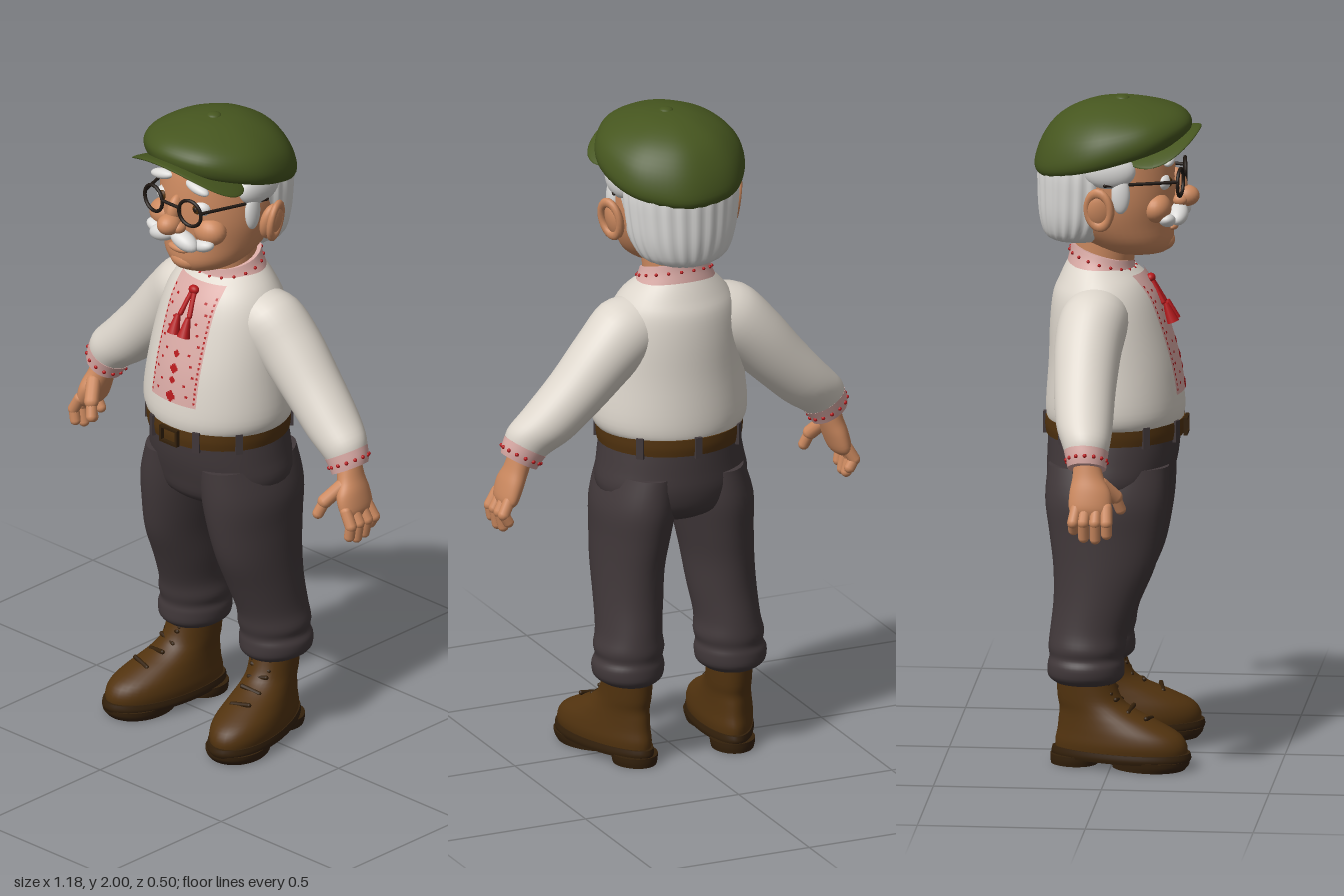
import * as THREE from 'three';

const mat = (name, color) => new THREE.MeshStandardMaterial({ name, color });
const M = {
  shirt: mat('shirt linen', 0xddd6cc), pink: mat('embroidery pink', 0xd9aaa5), red: mat('thread red', 0xb5191c),
  pants: mat('trouser charcoal', 0x41383a), boot: mat('boot leather', 0x52330f), sole: mat('dark leather', 0x33200b),
  skin: mat('skin', 0xcd8a60), hair: mat('white hair', 0xdcdbd9), cap: mat('cap green', 0x46561f), black: mat('frame black', 0x1f1712),
};
const V = (x, y, z) => new THREE.Vector3(x, y, z);

// Smooth interpolation of ring parameters [x, y, z, radiusX, radiusZ, roll, tilt]
function ringAt(rings, t) {
  const n = rings.length - 1, i = Math.min(n - 1, Math.floor(t)), f = t - i;
  const r = k => rings[Math.max(0, Math.min(n, k))];
  return [0, 1, 2, 3, 4, 5, 6].map(k => {
    const a = r(i - 1)[k] ?? 0, b = r(i)[k] ?? 0, c = r(i + 1)[k] ?? 0, d = r(i + 2)[k] ?? 0;
    return 0.5 * (2 * b + (c - a) * f + (2 * a - 5 * b + 4 * c - d) * f * f + (3 * b - a - 3 * c + d) * f * f * f);
  });
}
// Closed skin through elliptical rings listed from bottom to top
function loftGeometry(rings, { seg = 40, steps = 4, ripple = 0, waves = 0 } = {}) {
  const pos = [], idx = [], rows = (rings.length - 1) * steps;
  for (let i = 0; i <= rows; i++) {
    const [x, y, z, ra, rb, roll, tilt] = ringAt(rings, i / steps);
    for (let j = 0; j < seg; j++) {
      const th = j / seg * Math.PI * 2, k = 1 + ripple * Math.sin(th * waves);
      const a = ra * k * Math.cos(th), b = rb * k * Math.sin(th);
      pos.push(x + a * Math.cos(roll), y + a * Math.sin(roll) + b * Math.sin(tilt), z + b * Math.cos(tilt));
      if (i < rows) {
        const p = i * seg + j, q = i * seg + (j + 1) % seg;
        idx.push(p, p + seg, q, q, p + seg, q + seg);
      }
    }
  }
  for (const row of [0, rows]) {
    const base = pos.length / 3, e = ringAt(rings, row / steps);
    pos.push(...pos.slice(row * seg * 3, (row + 1) * seg * 3), e[0], e[1], e[2]);
    for (let j = 0; j < seg; j++) {
      const p = base + j, q = base + (j + 1) % seg;
      row ? idx.push(p, base + seg, q) : idx.push(p, q, base + seg);
    }
  }
  const g = new THREE.BufferGeometry();
  g.setAttribute('position', new THREE.Float32BufferAttribute(pos, 3));
  g.setIndex(idx);
  g.computeVertexNormals();
  return g;
}
function add(group, name, geometry, material) {
  const m = new THREE.Mesh(geometry, material);
  m.name = name;
  group.add(m);
  return m;
}
const loft = (g, name, m, rings, opt) => add(g, name, loftGeometry(rings, opt), m);
function blob(g, name, m, [x, y, z], [a, b, c], rotZ = 0, rotX = 0) {
  const geo = new THREE.SphereGeometry(1, 24, 16).scale(a, b, c).rotateX(rotX).rotateZ(rotZ).translate(x, y, z);
  return add(g, name, geo, m);
}
function capsule(g, name, m, a, b, r) {
  const p = V(...a), q = V(...b), d = q.clone().sub(p);
  const geo = new THREE.CapsuleGeometry(r, d.length(), 6, 12);
  geo.applyQuaternion(new THREE.Quaternion().setFromUnitVectors(V(0, 1, 0), d.clone().normalize()));
  const c = p.add(q).multiplyScalar(0.5);
  return add(g, name, geo.translate(c.x, c.y, c.z), m);
}
const box = (g, name, m, p, s, ry = 0) => add(g, name, new THREE.BoxGeometry(...s).rotateY(ry).translate(...p), m);
// Adds a left-side group plus its reflected right-side copy
function addPair(root, left, name) {
  left.name = 'left' + name;
  left.updateMatrixWorld(true);
  const right = new THREE.Group();
  right.name = 'right' + name;
  left.traverse(o => {
    if (!o.isMesh) return;
    const g = o.geometry.clone().applyMatrix4(o.matrixWorld).scale(-1, 1, 1), a = g.index.array;
    for (let i = 0; i < a.length; i += 3) [a[i], a[i + 1]] = [a[i + 1], a[i]];
    add(right, o.name, g, o.material);
  });
  root.add(left, right);
}

const SHIRT = [[0, 1.015, -.005, .205, .195], [0, 1.03, -.005, .228, .204], [0, 1.08, -.005, .238, .206], [0, 1.2, -.01, .225, .193],
  [0, 1.32, -.025, .21, .174], [0, 1.4, -.035, .19, .155], [0, 1.45, -.04, .16, .13], [0, 1.495, -.042, .115, .1, 0, -.15]];

// Thin patch lying on the shirt front
function patch(g, name, m, x, y, w, h, lift, nx = 1, ny = 1) {
  const geo = new THREE.PlaneGeometry(w, h, nx, ny).translate(x, y, 0), p = geo.attributes.position;
  for (let i = 0; i < p.count; i++) {
    let lo = 0, hi = SHIRT.length - 1;
    for (let k = 0; k < 24; k++) { const t = (lo + hi) / 2; ringAt(SHIRT, t)[1] < p.getY(i) ? lo = t : hi = t; }
    const r = ringAt(SHIRT, lo);
    p.setZ(i, r[2] + r[4] * Math.sqrt(1 - (p.getX(i) / r[3]) ** 2) + lift);
  }
  geo.computeVertexNormals();
  return add(g, name, geo, m);
}

function buildShirt(root) {
  const g = new THREE.Group();
  g.name = 'shirt';
  loft(g, 'shirtBody', M.shirt, SHIRT);
  loft(g, 'collar', M.pink, [[0, 1.478, -.042, .127, .107, 0, -.2], [0, 1.505, -.043, .113, .1, 0, -.26], [0, 1.53, -.044, .105, .097, 0, -.28]]);
  patch(g, 'embroideredPanel', M.pink, 0, 1.29, .18, .36, .004, 10, 24);
  // stitched motifs: edge columns, a centre column and a scatter between
  for (let i = 0; i < 21; i++) {
    const y = 1.125 + i * .0155;
    for (const s of [-1, 1]) {
      patch(g, 'edgeStitch', M.red, s * .083, y, .006, .007, .006);
      if (i % 2) patch(g, 'innerStitch', M.red, s * (.045 + .012 * (i % 3)), y, .009, .007, .006);
    }
  }
  for (const [y, s] of [[1.13, .035], [1.18, .022], [1.215, .03], [1.26, .022]])
    for (const [w, h] of [[1, .35], [.65, .7], [.3, 1]]) patch(g, 'centreMotif', M.red, 0, y, s * w, s * h, .007);
  for (let i = 0; i < 18; i++) {
    const a = i / 18 * Math.PI * 2;
    blob(g, 'collarStitch', M.red, [.114 * Math.cos(a), 1.505 - .027 * Math.sin(a), -.043 + .098 * Math.sin(a)], [.005, .005, .005]);
  }
  // tied cord with two tassels
  blob(g, 'cordKnot', M.red, [0, 1.445, .1], [.018, .014, .014]);
  for (const s of [-1, 1]) {
    capsule(g, 'cord', M.red, [s * .005, 1.44, .102], [s * .018, 1.375, .138], .008);
    add(g, 'tassel', new THREE.CylinderGeometry(.008, .02, .06, 12).rotateX(-.35).translate(s * .021, 1.345, .157), M.red);
  }
  root.add(g);
}

function buildArm(root) {
  const g = new THREE.Group();
  loft(g, 'sleeve', M.shirt, [[.5, 1, -.045, .058, .056, .5], [.477, 1.04, -.048, .074, .07, .55], [.42, 1.09, -.058, .083, .084, .6],
    [.33, 1.18, -.065, .09, .092, .65], [.235, 1.28, -.064, .101, .1, .7], [.15, 1.35, -.052, .11, .105, .8], [.07, 1.39, -.045, .08, .08, .8]]);
  loft(g, 'cuff', M.pink, [[.507, .98, -.042, .06, .057, .5], [.5, 1, -.044, .065, .061, .5], [.487, 1.025, -.046, .07, .066, .52]]);
  for (let i = 0; i < 14; i++) {
    const a = i / 14 * Math.PI * 2, c = .065 * Math.cos(a);
    blob(g, 'cuffStitch', M.red, [.5 + c * .88, 1 + c * .48, -.044 + .061 * Math.sin(a)], [.006, .006, .006]);
  }
  loft(g, 'palm', M.skin, [[.553, .845, -.03, .018, .045, .35], [.545, .865, -.03, .03, .062, .35], [.53, .91, -.03, .035, .062, .38],
    [.515, .95, -.037, .035, .048, .4], [.503, .99, -.042, .037, .04, .5]]);
  [[.022, .795], [-.012, .78], [-.047, .783], [-.077, .805]].forEach(([z, y], i) => {
    capsule(g, 'fingerBase', M.skin, [.55, .87, z * .9], [.572, .83, z], .018);
    capsule(g, 'fingerTip', M.skin, [.572, .83, z], [.566 - .003 * i, y, z], .0165);
  });
  capsule(g, 'thumbBase', M.skin, [.512, .935, 0], [.482, .89, .04], .022);
  capsule(g, 'thumbTip', M.skin, [.482, .89, .04], [.468, .85, .054], .017);
  addPair(root, g, 'Arm');
}

function buildTrousers(root) {
  loft(root, 'trouserSeat', M.pants, [[0, .745, -.02, .12, .1], [0, .785, -.02, .195, .165], [0, .85, -.02, .233, .187],
    [0, .92, -.012, .224, .195], [0, .99, -.007, .21, .197]]);
  const leg = new THREE.Group();
  loft(leg, 'trouserLeg', M.pants, [[.165, .25, -.077, .078, .09], [.167, .27, -.077, .102, .112], [.167, .305, -.077, .107, .114],
    [.164, .33, -.076, .099, .11], [.163, .36, -.074, .104, .115], [.16, .41, -.067, .096, .117], [.152, .5, -.045, .099, .13],
    [.146, .6, -.025, .102, .152], [.135, .7, -.02, .11, .17], [.125, .8, -.02, .117, .183], [.11, .9, -.015, .1, .18]]);
  addPair(root, leg, 'TrouserLeg');
  loft(root, 'belt', M.boot, [[0, .975, -.006, .217, .204], [0, 1, -.006, .221, .208], [0, 1.027, -.006, .222, .207]]);
  for (const a of [.55, 1.15, 1.99, 2.59, 3.9, 4.71, 5.52])
    box(root, 'beltLoop', M.pants, [.221 * Math.cos(a), 1, -.006 + .208 * Math.sin(a)], [.022, .065, .012], Math.PI / 2 - a);
  for (const s of [-1, 1]) {
    box(root, 'buckleSide', M.sole, [s * .032, 1, .206], [.008, .052, .012]);
    box(root, 'buckleBar', M.sole, [0, 1 + s * .023, .206], [.07, .007, .012]);
  }
}

function buildBoot(root) {
  const g = new THREE.Group();
  const foot = (name, m, rings) => {
    const mesh = loft(g, name, m, rings), p = mesh.geometry.attributes.position;
    // broaden the toe and narrow the heel
    for (let i = 0; i < p.count; i++) p.setX(i, p.getX(i) * (1 + .9 * p.getZ(i)));
    mesh.geometry.computeVertexNormals();
  };
  foot('upper', M.boot, [[0, .035, .03, .082, .2], [0, .07, .03, .088, .203], [0, .105, .022, .085, .188], [0, .14, -.01, .078, .152],
    [0, .17, -.042, .073, .117], [0, .205, -.068, .072, .097], [0, .275, -.083, .074, .086]]);
  foot('sole', M.sole, [[0, .024, .03, .087, .21], [0, .036, .03, .09, .215], [0, .052, .03, .088, .212]]);
  foot('heel', M.sole, [[0, 0, -.115, .07, .07], [0, .015, -.115, .074, .072], [0, .03, -.115, .075, .072]]);
  foot('tread', M.sole, [[0, 0, .115, .074, .11], [0, .015, .12, .078, .117], [0, .03, .12, .08, .12]]);
  // lacing up the instep
  [[.15, .122], [.175, .066], [.202, .028], [.228, .012], [.25, .004]].forEach(([y, z], i) => {
    const s = i % 2 ? 1 : -1;
    capsule(g, 'lace', M.sole, [-.03, y + s * .005, z - .006], [.03, y - s * .005, z - .006], .007);
  });
  g.position.set(.182, 0, 0);
  g.rotation.y = .2;
  addPair(root, g, 'Boot');
}

function buildHead(root) {
  const g = new THREE.Group();
  g.name = 'head';
  loft(g, 'neck', M.skin, [[0, 1.47, -.04, .09, .085], [0, 1.62, -.03, .1, .1]]);
  loft(g, 'face', M.skin, [[0, 1.526, .065, .05, .06], [0, 1.536, .052, .088, .1], [0, 1.57, .03, .13, .138], [0, 1.63, 0, .158, .168],
    [0, 1.7, -.01, .172, .184], [0, 1.78, -.015, .172, .188], [0, 1.86, -.02, .163, .18], [0, 1.91, -.02, .13, .15]]);
  blob(g, 'chin', M.skin, [0, 1.562, .13], [.055, .032, .042]);
  blob(g, 'lowerLip', M.skin, [0, 1.607, .165], [.04, .013, .018]);
  blob(g, 'noseBridge', M.skin, [0, 1.74, .18], [.02, .045, .028], 0, -.3);
  blob(g, 'noseTip', M.skin, [0, 1.698, .206], [.034, .032, .039]);
  loft(g, 'hair', M.hair, [[0, 1.565, -.115, .085, .08], [0, 1.585, -.108, .13, .108], [0, 1.64, -.095, .16, .135], [0, 1.72, -.088, .174, .147],
    [0, 1.8, -.085, .178, .148], [0, 1.87, -.08, .16, .13]], { seg: 120, ripple: .018, waves: 24 });
  const s = new THREE.Group();
  blob(s, 'cheek', M.skin, [.09, 1.68, .125], [.055, .045, .045]);
  blob(s, 'nostril', M.skin, [.027, 1.69, .19], [.018, .018, .022]);
  blob(s, 'ear', M.skin, [.19, 1.69, -.032], [.024, .06, .042], -.2);
  add(s, 'earRim', new THREE.TorusGeometry(.038, .011, 10, 24).scale(1, 1.4, 1).rotateY(Math.PI / 2 + .35).rotateZ(-.15).translate(.205, 1.695, -.036), M.skin);
  blob(s, 'templeHair', M.hair, [.162, 1.805, -.01], [.034, .055, .08]);
  blob(s, 'sideburn', M.hair, [.17, 1.735, .026], [.017, .058, .028]);
  blob(s, 'eyeWhite', M.hair, [.073, 1.755, .142], [.032, .025, .025]);
  blob(s, 'iris', M.boot, [.07, 1.755, .16], [.015, .016, .01]);
  blob(s, 'pupil', M.black, [.07, 1.755, .166], [.008, .009, .006]);
  blob(s, 'eyebrow', M.hair, [.072, 1.825, .16], [.045, .016, .02], -.2);
  blob(s, 'moustache', M.hair, [.043, 1.652, .186], [.052, .027, .03], -.3);
  blob(s, 'moustacheTip', M.hair, [.094, 1.643, .158], [.04, .02, .025], .25);
  add(s, 'lensRim', new THREE.TorusGeometry(.041, .0055, 8, 32).rotateY(.12).translate(.075, 1.755, .195), M.black);
  capsule(s, 'glassesArm', M.black, [.116, 1.765, .188], [.186, 1.765, -.02], .005);
  addPair(g, s, 'FaceSide');
  capsule(g, 'glassesBridge', M.black, [-.034, 1.762, .2], [.034, 1.762, .2], .005);
  root.add(g);
}

function buildCap(root) {
  const g = new THREE.Group();
  g.name = 'flatCap';
  loft(g, 'crown', M.cap, [[0, 1.822, -.01, .185, .2, 0, .27], [0, 1.827, -.011, .212, .232, 0, .27], [0, 1.862, -.012, .221, .243, 0, .27],
    [0, 1.912, -.012, .202, .216, 0, .2], [0, 1.955, -.008, .15, .165, 0, .11], [0, 1.985, 0, .075, .085, 0, .04], [0, 1.994, .01, .002, .002]],
  { seg: 64, ripple: .006, waves: 8 });
  // peak, drooping toward the sides
  const peak = new THREE.SphereGeometry(1, 40, 20).scale(.198, .014, .125).translate(0, 0, .125), p = peak.attributes.position;
  for (let i = 0; i < p.count; i++) p.setY(i, p.getY(i) + 1.9 + .25 * (p.getZ(i) - .22) - 1.3 * p.getX(i) ** 2);
  peak.computeVertexNormals();
  add(g, 'peak', peak, M.cap);
  blob(g, 'button', M.cap, [0, 1.99, .015], [.022, .01, .022]);
  root.add(g);
}

export function createModel() {
  const root = new THREE.Group();
  root.name = 'grandfather';
  for (const build of [buildShirt, buildArm, buildTrousers, buildBoot, buildHead, buildCap]) build(root);
  return root;
}
